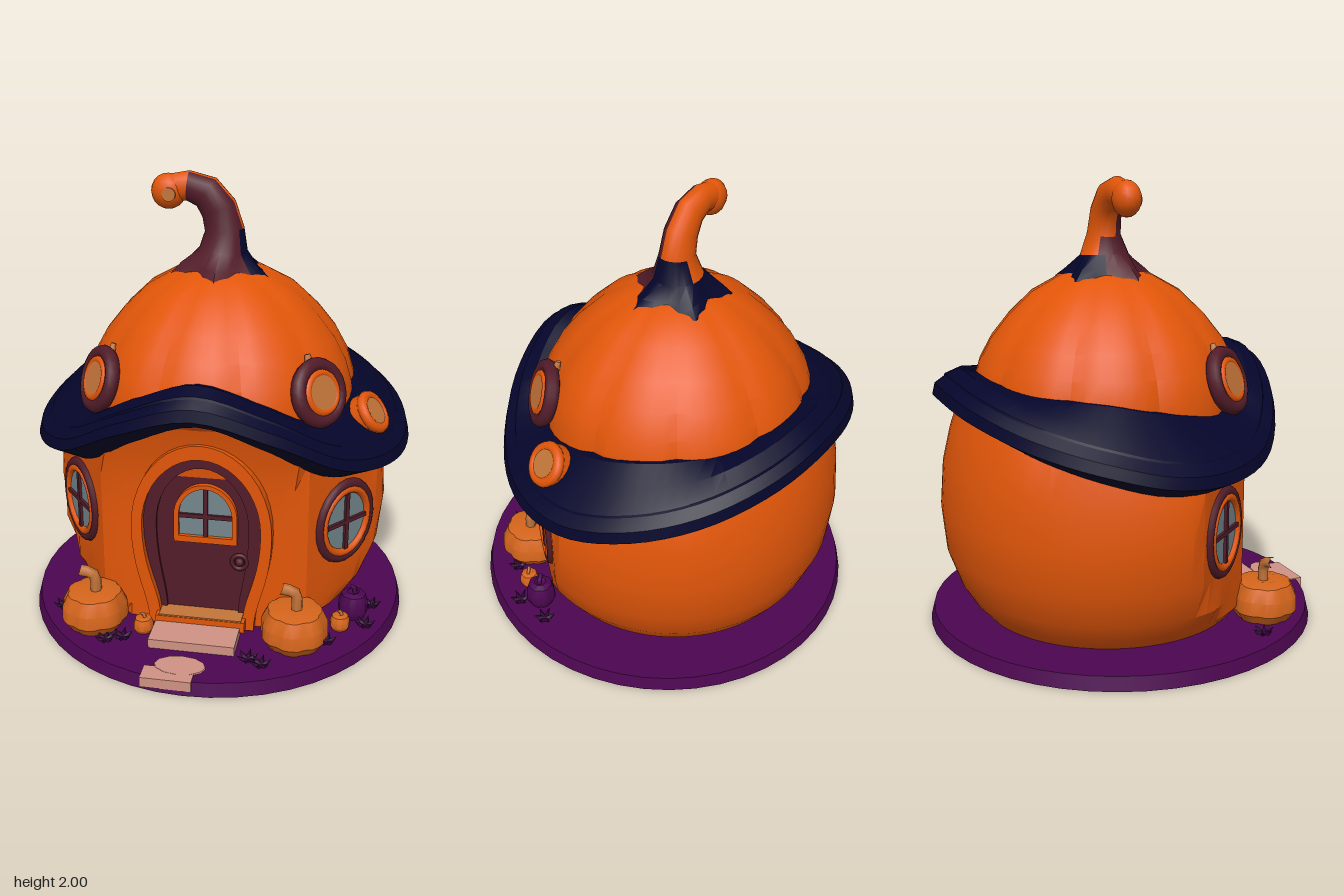
import * as THREE from 'three';
import { toCreasedNormals } from 'three/addons/utils/BufferGeometryUtils.js';

const mat = (name, color, extra = {}) => Object.assign(new THREE.MeshStandardMaterial({ color, ...extra }), { name });
const M = {
  orange: mat('orange skin', 0xe25609),
  light: mat('pale orange', 0xd5651c),
  tan: mat('tan', 0xc4753a),
  pink: mat('pink stone', 0xd09284),
  glass: mat('grey glass', 0x73868c),
  brown: mat('plum brown', 0x521c29),
  navy: mat('navy roof', 0x05052b),
  purple: mat('purple ground', 0x4c0650),
  dark: mat('dark leaves', 0x36083c, { side: THREE.DoubleSide }),
};

const V = (x, y, z) => new THREE.Vector3(x, y, z);

function add(parent, name, geo, material, x = 0, y = 0, z = 0) {
  const m = new THREE.Mesh(geo, material);
  m.name = name;
  m.position.set(x, y, z);
  parent.add(m);
  return m;
}

// Skin over closed rings; ringPoint(i, angle) gives each point, pick(i, angle) a material slot
function loft(count, seg, ringPoint, crease = 0.5, pick = () => 0) {
  const pos = [], buckets = [];
  for (let i = 0; i < count; i++)
    for (let j = 0; j < seg; j++) pos.push(...ringPoint(i, (j / seg) * Math.PI * 2).toArray());
  for (let i = 0; i < count - 1; i++)
    for (let j = 0; j < seg; j++) {
      const k = (j + 1) % seg, a = i * seg + j, b = i * seg + k;
      const slot = pick(i, ((j + 0.5) / seg) * Math.PI * 2);
      (buckets[slot] ??= []).push(a, b, b + seg, a, b + seg, a + seg);
    }
  const g = new THREE.BufferGeometry();
  g.setAttribute('position', new THREE.Float32BufferAttribute(pos, 3));
  g.setIndex(buckets.flat());
  let start = 0;
  if (buckets.length > 1) buckets.forEach((b, s) => { g.addGroup(start, b.length, s); start += b.length; });
  return toCreasedNormals(g, crease);
}

// Horseshoe outline: narrow foot, wide middle, round top
function arch(path, foot, mid, y0, ym, yt) {
  const h = (yt - ym) * 0.55, k = (ym - y0) * 0.5;
  path.moveTo(-foot, y0);
  path.lineTo(foot, y0);
  path.bezierCurveTo(foot, y0 + k * 0.6, mid, ym - k, mid, ym);
  path.bezierCurveTo(mid, ym + h, mid * 0.55, yt, 0, yt);
  path.bezierCurveTo(-mid * 0.55, yt, -mid, ym + h, -mid, ym);
  path.bezierCurveTo(-mid, ym - k, -foot, y0 + k * 0.6, -foot, y0);
  return path;
}
function archGeo(outer, inner, depth) {
  const s = arch(new THREE.Shape(), ...outer);
  if (inner) s.holes.push(arch(new THREE.Path(), ...inner));
  return new THREE.ExtrudeGeometry(s, { depth, bevelEnabled: false, curveSegments: 10 });
}

const disc = (r, h) => new THREE.CylinderGeometry(r, r, h, 20).rotateX(Math.PI / 2);
const ring = (r, t) => new THREE.TorusGeometry(r, t, 8, 24);

function facing(parent, name, p, n) {
  const g = new THREE.Group();
  g.name = name;
  g.position.copy(p);
  g.lookAt(p.clone().add(n));
  parent.add(g);
  return g;
}

// Small chunky pumpkin with a crooked stem
function pumpkin(parent, name, x, z, r, h, skin, stemH) {
  const g = new THREE.Group();
  g.name = name;
  g.position.set(x, 0.06, z);
  const prof = [[0, 0], [0.8, 0], [1, 0.25], [0.98, 0.6], [0.8, 0.92], [0.4, 1], [0, 0.92]];
  add(g, 'skin', loft(prof.length, 28, (i, a) => {
    const q = prof[i][0] * r * (0.93 + 0.07 * Math.sqrt(Math.abs(Math.cos(3.5 * a))));
    return V(Math.sin(a) * q, prof[i][1] * h, Math.cos(a) * q);
  }), skin);
  const c = new THREE.CatmullRomCurve3([V(0.01, h * 0.85, 0), V(0, h + stemH * 0.7, 0), V(-stemH * 0.6, h + stemH * 0.9, 0.01)]);
  add(g, 'stem', new THREE.TubeGeometry(c, 5, r * 0.17, 6), skin === M.light ? M.tan : skin);
  parent.add(g);
}

export function createModel() {
  const root = new THREE.Group();
  root.name = 'pumpkinCottage';

  // Ground disc and path
  const base = add(root, 'ground', new THREE.CylinderGeometry(0.855, 0.87, 0.06, 48), M.purple, 0, 0.03, 0);
  base.scale.z = 1.02;
  add(root, 'upperStep', new THREE.BoxGeometry(0.38, 0.045, 0.16), M.pink, -0.01, 0.08, 0.58);
  const slab = add(root, 'pathSlab', new THREE.CylinderGeometry(0.11, 0.115, 0.012, 12), M.pink, -0.035, 0.06, 0.77);
  slab.scale.z = 0.6;
  add(root, 'edgeSlab', new THREE.BoxGeometry(0.22, 0.046, 0.09), M.pink, -0.075, 0.042, 0.837);

  // Roof wave: lower-edge height every 22.5 degrees from front to back, one extra at each end
  const wave = new THREE.SplineCurve([0.96, 1.065, 0.96, 0.8, 0.745, 0.755, 0.82, 0.89, 0.96, 1.0, 0.96].map((y, i) => new THREE.Vector2(i, y)));
  const eave = (a) => wave.getPoint((1 + (8 * Math.min(a, 2 * Math.PI - a)) / Math.PI) / 10).y;

  // Lower body, flattened at the front and at the two window walls, ending inside the brim
  const body = [[0.05, 0.58], [0.12, 0.64], [0.2, 0.69], [0.35, 0.745], [0.55, 0.765], [0.75, 0.75], [0.9, 0.715], [1.0, 0.68], [1.06, 0.6], [1.12, 0.5]];
  const wallAngle = 0.877;
  add(root, 'lowerBody', loft(body.length, 72, (i, a) => {
    const s = a > Math.PI ? a - 2 * Math.PI : a;
    const y = Math.min(body[i][0], eave(a) + 0.08);
    let r = body[i][1];
    for (const [at, d] of [[0, 0.475 + Math.max(0, y - 0.8) * 0.25], [wallAngle, 0.645], [-wallAngle, 0.645]]) {
      const c = Math.cos(s - at);
      if (c > 0.3) r = Math.min(r, d / c);
    }
    return V(Math.sin(a) * r, y, Math.cos(a) * r - 0.06);
  }, 0.4), M.orange);

  // Ribbed dome, tucked back to the facade at its lowest front edge
  const dome = [[1.0, 0.61], [1.1, 0.605], [1.2, 0.575], [1.3, 0.52], [1.4, 0.44], [1.5, 0.335], [1.57, 0.21], [1.6, 0.09], [1.61, 0]];
  add(root, 'dome', loft(dome.length, 60, (i, a) => {
    let r = dome[i][1] * (0.965 + 0.035 * Math.sqrt(Math.abs(Math.cos(5 * a))));
    if (i === 0) r = Math.min(r, 0.525 / Math.max(Math.cos(a), 0.1));
    return V(Math.sin(a) * r, dome[i][0], Math.cos(a) * r - 0.07);
  }, 0.35), M.orange);

  // Wavy roof brim: reach, height above the eave, extra rise at the sides
  const section = [[0.6, 0.06, 0], [0.84, 0, 0], [1, 0.07, 0], [0.985, 0.12, 0], [0.93, 0.15, 0.01], [0.925, 0.16, 0.01],
    [0.84, 0.185, 0.05], [0.72, 0.16, 0.16], [0.6, 0.13, 0.2]];
  add(root, 'roofBrim', loft(section.length, 72, (i, a) => {
    const [q, dy, sideRise] = section[i];
    return V(Math.sin(a) * q * 0.86, eave(a) + dy + sideRise * Math.sin(a) ** 2, Math.cos(a) * q * 0.75 - 0.09);
  }, 0.4), M.navy);

  // Curled stem: x, y, radius of each ring
  const stem = [[0, 1.56, 0.2], [0, 1.6, 0.16], [0.005, 1.66, 0.108], [0.01, 1.75, 0.088], [-0.015, 1.84, 0.082], [-0.07, 1.91, 0.075],
    [-0.15, 1.935, 0.066], [-0.22, 1.925, 0.06], [-0.24, 1.91, 0]];
  add(root, 'stem', loft(stem.length, 20, (i, a) => {
    const [x, y, r] = stem[i];
    const p = stem[Math.max(i - 1, 0)], n = stem[Math.min(i + 1, stem.length - 1)];
    const t = new THREE.Vector2(n[0] - p[0], n[1] - p[1]).normalize();
    const q = r * (i < 2 ? 1 + 0.15 * Math.cos(5 * a) : 1), s = Math.sin(a) * q;
    return V(x + s * t.y, y - s * t.x, -0.075 + Math.cos(a) * q * (i < 3 ? 1 : 0.82));
  }, 0.7, (i, a) => {
    const c = Math.cos(a), s = Math.sin(a);
    if (i < 2) return c > 0.55 || (s < -0.3 && c > -0.3) ? 0 : 2;
    if (i === 2 && s > 0.4 && c < 0.6) return 2;
    if (i === 2 && s < -0.3 && c > -0.5) return 0;
    return i < 6 && c > 0.2 ? 0 : 1;
  }), [M.brown, M.orange, M.navy]);
  const curl = add(root, 'stemCurl', new THREE.SphereGeometry(0.078, 14, 10), M.orange, -0.237, 1.91, -0.07);
  curl.scale.z = 0.8;
  add(root, 'curlEnd', disc(0.03, 0.03), M.tan, -0.225, 1.905, -0.021);

  // Front door
  const door = new THREE.Group();
  door.name = 'door';
  root.add(door);
  add(door, 'outerFrame', archGeo([0.235, 0.31, 0.07, 0.54, 0.95], [0.185, 0.262, 0.1, 0.55, 0.885], 0.1), M.orange, 0, 0, 0.37);
  add(door, 'innerFrame', archGeo([0.19, 0.267, 0.1, 0.55, 0.89], [0.16, 0.205, 0.12, 0.55, 0.83], 0.07), M.brown, 0, 0, 0.365);
  add(door, 'doorLeaf', archGeo([0.17, 0.215, 0.11, 0.55, 0.84], null, 0.04), M.brown, 0, 0, 0.38);
  add(door, 'threshold', new THREE.BoxGeometry(0.4, 0.05, 0.12), M.orange, 0, 0.105, 0.45);
  add(door, 'thresholdTop', new THREE.BoxGeometry(0.37, 0.008, 0.11), M.tan, 0, 0.132, 0.452);
  add(door, 'paneFrame', archGeo([0.14, 0.14, 0.475, 0.6, 0.755], [0.118, 0.118, 0.505, 0.6, 0.735], 0.025), M.orange, 0.015, 0, 0.418);
  add(door, 'pane', archGeo([0.12, 0.12, 0.5, 0.6, 0.737], null, 0.006), M.glass, 0.015, 0, 0.42);
  add(door, 'paneBar', new THREE.BoxGeometry(0.02, 0.24, 0.015), M.brown, 0.015, 0.615, 0.429);
  add(door, 'paneBar', new THREE.BoxGeometry(0.24, 0.02, 0.015), M.brown, 0.015, 0.6, 0.429);
  add(door, 'knobRing', ring(0.033, 0.01), M.brown, 0.165, 0.39, 0.43);
  add(door, 'knob', new THREE.SphereGeometry(0.02, 10, 8), M.brown, 0.165, 0.39, 0.43);

  for (const s of [1, -1]) {
    // Oval wall windows
    const n = V(s * Math.sin(wallAngle), 0, Math.cos(wallAngle));
    const w = facing(root, 'wallWindow', V(s * 0.598, 0.53, 0.22), n);
    w.scale.set(1.2, 1.36, 1.4);
    add(w, 'rim', ring(0.131, 0.02), M.brown);
    add(w, 'innerRim', ring(0.113, 0.014), M.orange, 0, 0, 0.008);
    add(w, 'pane', disc(0.11, 0.01), M.glass, 0, 0, 0.004);
    add(w, 'bar', new THREE.BoxGeometry(0.018, 0.2, 0.016), M.brown, 0, 0, 0.01);
    add(w, 'bar', new THREE.BoxGeometry(0.2, 0.014, 0.016), M.brown, 0, 0, 0.01);

    // Round dome windows
    const d = facing(root, 'domeWindow', V(s * 0.475, 1.155, 0.295), V(s * 0.74, 0.32, 0.58));
    add(d, 'rim', ring(0.118, 0.033), M.brown);
    add(d, 'backing', disc(0.11, 0.05), M.brown, 0, 0, -0.02);
    add(d, 'innerRim', ring(0.083, 0.018), M.orange, 0, 0, 0.018);
    add(d, 'pane', disc(0.08, 0.03), M.tan, 0, 0, 0.017);
    add(d, 'stub', new THREE.CylinderGeometry(0.012, 0.02, 0.04, 6), M.tan, 0, 0.148, -0.02);
  }

  // Small round lamp on the brim
  const lamp = facing(root, 'brimLamp', V(0.68, 0.99, 0.09), V(0.74, 0.56, 0.25));
  add(lamp, 'drum', disc(0.094, 0.06), M.orange);
  add(lamp, 'rim', ring(0.076, 0.024), M.orange, 0, 0, 0.025);
  add(lamp, 'pane', disc(0.062, 0.01), M.tan, 0, 0, 0.038);

  // Garden pumpkins
  pumpkin(root, 'leftPumpkin', -0.48, 0.5, 0.15, 0.175, M.light, 0.1);
  pumpkin(root, 'rightPumpkin', 0.42, 0.5, 0.15, 0.175, M.light, 0.1);
  pumpkin(root, 'tinyPumpkin', -0.25, 0.53, 0.045, 0.07, M.light, 0.02);
  pumpkin(root, 'tinyPumpkin', 0.61, 0.36, 0.045, 0.07, M.light, 0.02);
  pumpkin(root, 'purplePumpkin', 0.66, 0.24, 0.068, 0.12, M.purple, 0.03);

  // Leaf tufts
  const tufts = [[-0.4, 0.63], [-0.33, 0.6], [-0.66, 0.4], [0.24, 0.67], [0.3, 0.7], [0.56, 0.48], [0.72, 0.32], [0.74, 0.15]];
  tufts.forEach(([x, z], t) => {
    for (let k = 0; k < 6; k++) {
      const a = k * 1.05 + t;
      const leaf = add(root, 'leaf', new THREE.ConeGeometry(0.014, 0.045, 4, 1, true), M.dark, x + Math.sin(a) * 0.03, 0.07, z + Math.cos(a) * 0.03);
      leaf.rotation.set(Math.cos(a) * 0.9, 0, -Math.sin(a) * 0.9);
    }
  });

  return root;
}
